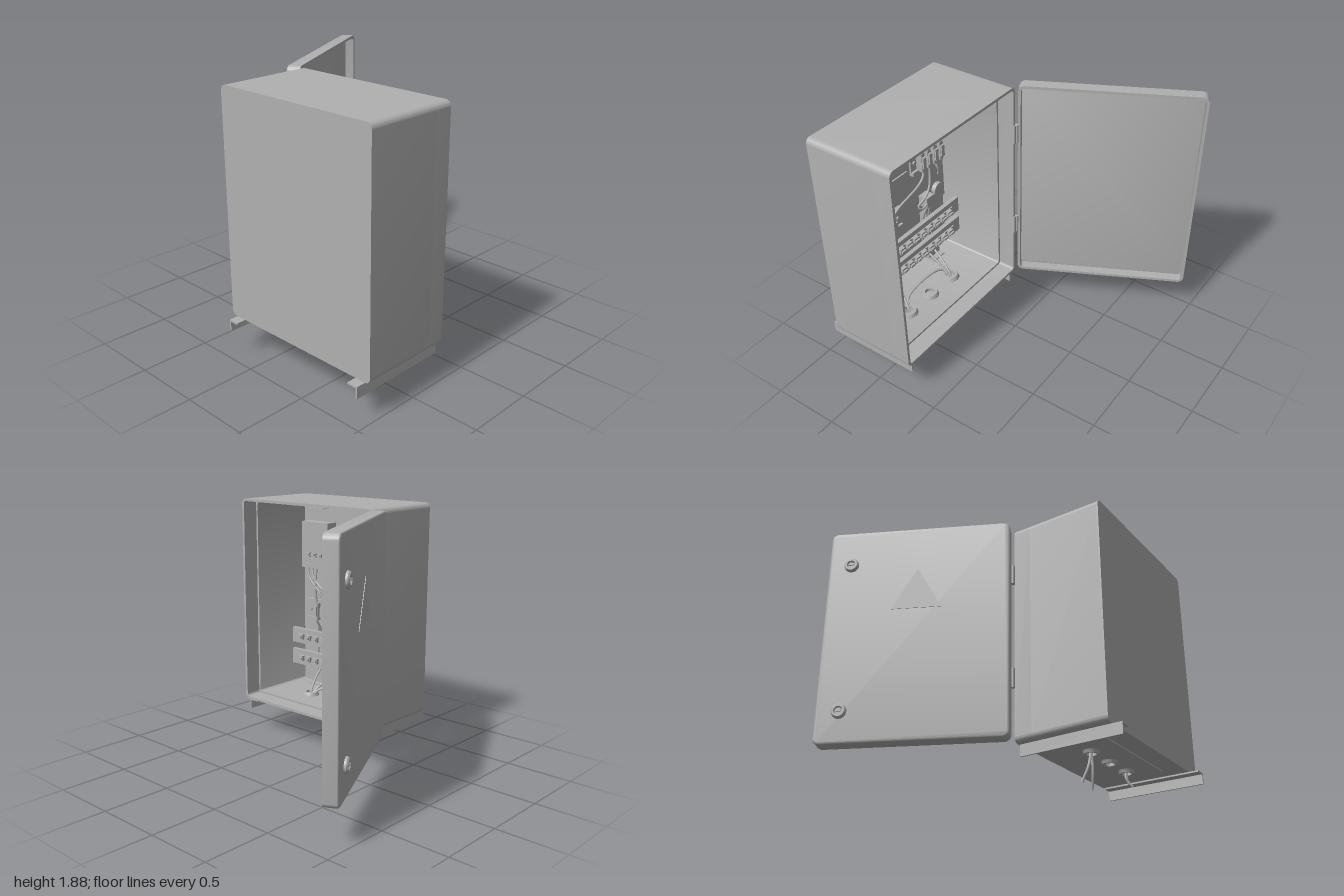
import * as THREE from 'three';
import { toCreasedNormals } from 'three/addons/utils/BufferGeometryUtils.js';

export function createModel() {
  const model = new THREE.Group();
  model.name = 'openControlCabinet';
  const grey = new THREE.MeshStandardMaterial({ color: 0xb0b0b0 });
  grey.name = 'paintedGrey';

  function add(name, geometry, parent = model) {
    const mesh = new THREE.Mesh(geometry, grey);
    mesh.name = name;
    parent.add(mesh);
    return mesh;
  }

  // Box given by its limits on each axis
  function slab(name, x0, x1, y0, y1, z0, z1, parent = model) {
    const g = new THREE.BoxGeometry(x1 - x0, y1 - y0, Math.abs(z1 - z0));
    g.translate((x0 + x1) / 2, (y0 + y1) / 2, (z0 + z1) / 2);
    return add(name, g, parent);
  }

  function roundedRect(target, x0, x1, y0, y1, r) {
    target.moveTo(x0 + r, y0);
    target.lineTo(x1 - r, y0);
    target.absarc(x1 - r, y0 + r, r, -Math.PI / 2, 0);
    target.lineTo(x1, y1 - r);
    target.absarc(x1 - r, y1 - r, r, 0, Math.PI / 2);
    target.lineTo(x0 + r, y1);
    target.absarc(x0 + r, y1 - r, r, Math.PI / 2, Math.PI);
    target.lineTo(x0, y0 + r);
    target.absarc(x0 + r, y0 + r, r, Math.PI, Math.PI * 1.5);
    return target;
  }

  // Rounded rectangular frame, or a solid plate when wall is 0
  function frame(x0, x1, y0, y1, r, wall, depth) {
    const s = roundedRect(new THREE.Shape(), x0, x1, y0, y1, r);
    if (wall) s.holes.push(roundedRect(new THREE.Path(), x0 + wall, x1 - wall, y0 + wall, y1 - wall, Math.max(r - wall, 0.02)));
    const g = new THREE.ExtrudeGeometry(s, { depth, bevelEnabled: false, curveSegments: 8 });
    return toCreasedNormals(g, 0.6);
  }

  const points2 = list => list.map(p => new THREE.Vector2(...p));

  // Extrusion along z turned to run along +x (shape x becomes -z)
  const sideways = (g, x) => g.rotateY(Math.PI / 2).translate(x, 0, 0);

  // Cabinet body, open towards +x
  const Y0 = 0.272, Y1 = 1.89;
  add('cabinetWalls', sideways(frame(-0.99, 0.3, Y0, Y1, 0.04, 0.036, 0.54), -0.88));
  add('openingRim', sideways(frame(-0.99, 0.3, Y0, Y1, 0.04, 0.02, 0.13), -0.34));
  add('cabinetBackWall', sideways(frame(-0.99, 0.3, Y0, Y1, 0.04, 0, 0.012), -0.89));

  // Angle feet under the body
  for (const [edge, inner] of [[0.95, 0.87], [-0.25, -0.17]]) {
    const foot = new THREE.Group();
    foot.name = 'angleFoot';
    model.add(foot);
    const t = 0.012 * Math.sign(inner - edge);
    slab('footTop', -0.96, -0.22, 0.26, 0.272, edge, inner, foot);
    slab('footFlange', -0.96, -0.22, 0.19, 0.27, edge, edge + t, foot);
  }

  // Gland plate and hollow cable glands
  slab('glandPlate', -0.75, -0.35, 0.262, 0.274, -0.08, 0.75);
  const glandProfile = points2([[0.035, 0.24], [0.05, 0.24], [0.062, 0.275], [0.07, 0.285], [0.07, 0.31],
    [0.058, 0.335], [0.035, 0.335], [0.035, 0.24]]);
  for (const z of [0.585, 0.34, 0.09]) {
    const g = toCreasedNormals(new THREE.LatheGeometry(glandProfile, 24), 0.5);
    add('cableGland', g).position.set(-0.55, 0, z);
  }

  // Slotted vertical rails behind the mounting panel
  for (const z of [0.75, -0.04]) {
    slab('verticalRail', -0.88, -0.81, 0.31, 1.85, z - 0.062, z + 0.062);
    slab('railSlotStrip', -0.81, -0.803, 0.42, 1.75, z - 0.022, z + 0.022);
    for (const y of [0.312, 1.84]) slab('railEndTab', -0.88, -0.76, y, y + 0.01, z - 0.062, z + 0.062);
  }

  // Mounting panel with one stepped corner
  const panel = new THREE.Shape(points2([[-0.83, 0.85], [0.17, 0.85], [0.17, 1.7], [-0.43, 1.7], [-0.53, 1.79], [-0.83, 1.79]]));
  add('mountingPanel', sideways(new THREE.ExtrudeGeometry(panel, { depth: 0.02, bevelEnabled: false }), -0.8));
  const P = -0.78;

  // Flat covers, main switch unit, junction block and round button
  slab('upperCover', P, P + 0.012, 1.33, 1.63, 0.235, 0.43);
  slab('lowerCover', P, P + 0.012, 1.06, 1.28, 0.235, 0.43);
  slab('switchUnit', P, P + 0.1, 1.32, 1.69, 0.52, 0.8);
  for (const z of [0.72, 0.657, 0.595]) {
    slab('switchTerminal', P + 0.1, P + 0.12, 1.41, 1.445, z - 0.023, z + 0.023);
    slab('switchLever', P + 0.1, P + 0.135, 1.425, 1.437, z - 0.018, z + 0.018);
  }
  slab('junctionBlock', P, P + 0.08, 0.915, 1.0, 0.04, 0.125);
  const button = new THREE.CylinderGeometry(0.053, 0.053, 0.035, 28).rotateZ(Math.PI / 2);
  add('roundButton', button).position.set(P + 0.017, 0.96, -0.075);

  // Terminal blocks: channel rail, screws and upright terminals
  function terminalBlock(z0, z1, y0, y1, terminals) {
    const block = new THREE.Group();
    block.name = 'terminalBlock';
    model.add(block);
    slab('blockBase', P, P + 0.015, y0, y1, z0, z1, block);
    slab('blockLowerLip', P, P + 0.035, y0, y0 + 0.03, z0, z1, block);
    slab('blockUpperLip', P, P + 0.035, y1 - 0.03, y1, z0, z1, block);
    for (const z of terminals) {
      slab('terminal', P, P + 0.07, y0 + 0.018, y1 - 0.022, z - 0.018, z + 0.018, block);
      slab('terminalStep', P, P + 0.085, y0 + 0.05, y1 - 0.05, z - 0.015, z + 0.015, block);
    }
    for (const z of [z0 + 0.035, z1 - 0.035]) {
      const screw = new THREE.CylinderGeometry(0.015, 0.015, 0.02, 14).rotateZ(Math.PI / 2);
      add('blockScrew', screw, block).position.set(P + 0.018, (y0 + y1) / 2, z);
    }
  }
  const right = [0.122, 0.053, -0.016, -0.085];
  const left = [0.674, 0.604, 0.54, 0.47];
  terminalBlock(-0.16, 0.2, 1.49, 1.675, right);
  terminalBlock(-0.16, 0.2, 1.22, 1.41, right);
  terminalBlock(0.35, 0.81, 0.87, 1.05, left);

  // Full-width cross bars carrying rows of screw terminals
  for (const y of [0.722, 0.538]) {
    const bar = new THREE.Group();
    bar.name = 'crossBar';
    model.add(bar);
    slab('barPlate', -0.735, -0.725, y - 0.063, y + 0.063, -0.28, 0.97, bar);
    for (const e of [-0.063, 0.053]) slab('barFlange', -0.76, -0.725, y + e, y + e + 0.01, -0.28, 0.97, bar);
    slab('terminalStrip', -0.725, -0.715, y - 0.022, y + 0.022, -0.185, 0.9, bar);
    for (let i = 0; i < 13; i++) {
      const z = 0.834 - i * 0.0797;
      slab('barTerminal', -0.715, -0.69, y - 0.022, y + 0.022, z - 0.024, z + 0.024, bar);
      slab('barClamp', -0.715, -0.675, y - 0.008, y + 0.008, z - 0.02, z + 0.02, bar);
    }
  }

  const v = (x, y, z) => new THREE.Vector3(x, y, z);
  const wire = curve => add('wire', new THREE.TubeGeometry(curve, 30, 0.009, 8));

  // Short wire that leaves downwards and arrives from above (or from below when arrive < 0)
  function link(z0, y0, z1, y1, leave, arrive = leave) {
    wire(new THREE.CubicBezierCurve3(v(-0.72, y0, z0), v(-0.7, y0 - leave, z0), v(-0.7, y1 + arrive, z1), v(-0.72, y1, z1)));
  }
  [1, 2, 0].forEach((target, i) => link(0.765 - 0.045 * i, 1.33, left[target], 1.02, 0.17));
  [2, 0, 3].forEach((target, i) => link(right[i], 1.51, right[target], 1.38, 0.07));
  link(right[2], 1.51, right[1], 1.38, 0.07);
  link(right[0], 1.24, left[3], 1.03, 0.13, 0.12);
  link(right[2], 1.24, -0.04, 1.13, 0.05);
  link(left[2], 0.89, left[3], 0.89, 0.07, -0.07);
  link(right[1], 1.24, 0.2, 0.97, 0.26, 0.06);
  link(0.2, 0.97, 0.12, 0.95, 0.05, 0);

  // Long wire that drops behind the cross bars and out through a gland
  function drop(z0, y0, zBar, zGland, tailX, tailY, tailZ) {
    wire(new THREE.CatmullRomCurve3([v(-0.72, y0, z0), v(-0.78, 0.76, zBar), v(-0.78, 0.5, zBar),
      v(-0.65, 0.4, (zBar + zGland) / 2), v(-0.55, 0.3, zGland), v(-0.55, 0.24, zGland),
      v(-0.55, (0.24 + tailY) / 2, (zGland + tailZ) / 2 - 0.01), v(tailX, tailY, tailZ)]));
  }
  drop(left[0], 0.89, 0.67, 0.59, -0.58, 0.15, 0.61);
  drop(left[1], 0.89, 0.49, 0.575, -0.57, 0.16, 0.59);
  drop(0.1, 0.92, 0.1, 0.097, -0.525, 0.01, 0.13);
  drop(0.06, 0.92, 0.03, 0.08, -0.51, 0.04, 0.025);

  // Wire running along the floor between two glands
  wire(new THREE.CatmullRomCurve3([v(-0.56, 0.32, 0.57), v(-0.62, 0.36, 0.5), v(-0.62, 0.37, 0.13), v(-0.57, 0.32, 0.08)]));

  // Hinges
  for (const y of [1.515, 0.725]) {
    add('hingePin', new THREE.CylinderGeometry(0.013, 0.013, 0.145, 14)).position.set(-0.204, y, -0.312);
    slab('hingeLeaf', -0.215, -0.2, y - 0.072, y + 0.072, -0.312, -0.28);
  }

  // Door tray swung open; local z = 0 is its open rim, -0.1 its outside
  const door = new THREE.Group();
  door.name = 'door';
  door.position.set(-0.2, 0, -0.32);
  door.rotation.y = Math.atan2(0.455, 0.89);
  model.add(door);
  const W = 1.29, D0 = 0.275, D1 = 1.888, B = 0.015;
  add('doorRim', frame(0, W, D0, D1, 0.045, 0.02, 0.0845).translate(0, 0, -0.0845), door);
  const face = roundedRect(new THREE.Shape(), B, W - B, D0 + B, D1 - B, 0.03);
  const faceGeo = new THREE.ExtrudeGeometry(face, { depth: 0.001, bevelThickness: B, bevelSize: B, bevelSegments: 4, curveSegments: 8 });
  add('doorPanel', toCreasedNormals(faceGeo, 0.6).translate(0, 0, -0.1 + B), door);

  // Door locks with a raised core
  const lockProfile = points2([[0.052, 0], [0.052, 0.014], [0.042, 0.024], [0.03, 0.024], [0.022, 0.012]]);
  for (const y of [1.61, 0.5]) {
    const lock = new THREE.Group();
    lock.name = 'doorLock';
    lock.position.set(1.125, y, -0.1);
    lock.rotation.x = -Math.PI / 2;
    door.add(lock);
    add('lockRing', toCreasedNormals(new THREE.LatheGeometry(lockProfile, 28), 0.5), lock);
    add('lockCore', new THREE.CylinderGeometry(0.024, 0.024, 0.014, 20), lock).position.y = 0.007;
    add('lockBit', new THREE.BoxGeometry(0.03, 0.012, 0.01), lock).position.y = 0.016;
  }

  // Thin triangular plate on the outside of the door
  const tri = new THREE.Shape(points2([[0.47, 1.24], [0.82, 1.24], [0.645, 1.55]]));
  add('triangularPlate', new THREE.ExtrudeGeometry(tri, { depth: 0.004, bevelEnabled: false }).translate(0, 0, -0.104), door);

  return model;
}
